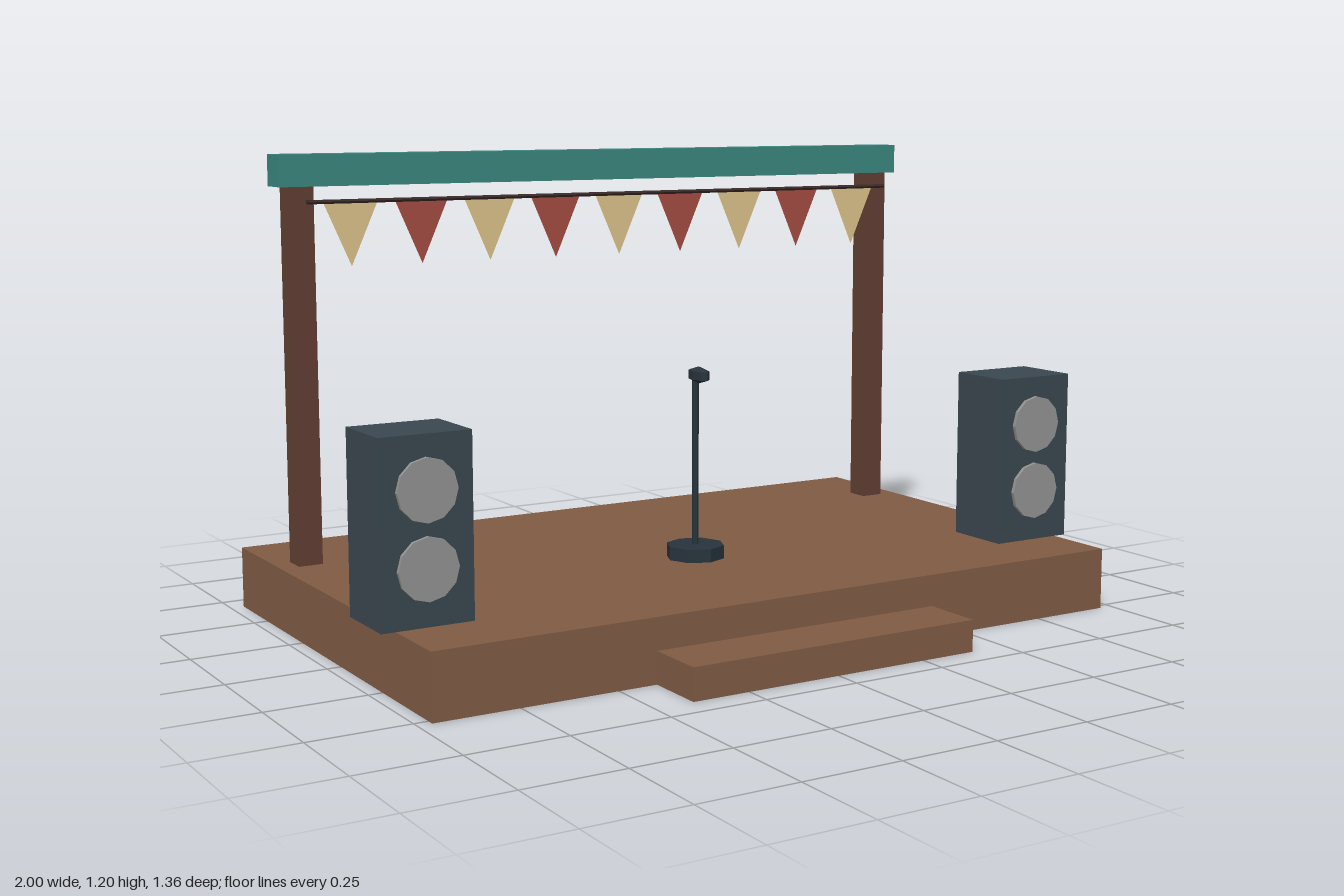
import * as THREE from 'three';

const mat = (color, extra = {}) => new THREE.MeshStandardMaterial({ color, flatShading: true, ...extra });
const wood = mat(0x805b43), postWood = mat(0x623f33), teal = mat(0x3a877f);
const dark = mat(0x3a474f), metal = mat(0x28333c), coneGrey = mat(0x929292), rope = mat(0x3a2a28);
const cream = mat(0xdcc48a, { side: THREE.DoubleSide });
const red = mat(0xa44c42, { side: THREE.DoubleSide });

export function createModel() {
  const stage = new THREE.Group();
  stage.name = 'stage';

  const add = (name, geometry, material, x, y, z, parent = stage) => {
    const mesh = new THREE.Mesh(geometry, material);
    mesh.name = name;
    mesh.position.set(x, y, z);
    parent.add(mesh);
    return mesh;
  };
  const box = (w, h, d) => new THREE.BoxGeometry(w, h, d);

  // Platform and front step
  add('platform', box(1.93, 0.16, 1.2), wood, 0, 0.08, -0.08);
  add('step', box(0.8, 0.08, 0.16), wood, 0, 0.04, 0.6);

  // Posts and speakers, mirrored left and right
  for (const [side, s] of [['left', 1], ['right', -1]]) {
    add(side + 'Post', box(0.064, 0.96, 0.064), postWood, s * 0.885, 0.64, -0.42);

    const speaker = new THREE.Group();
    speaker.name = side + 'Speaker';
    speaker.position.set(s * 0.885, 0.16, 0.242);
    stage.add(speaker);
    add('cabinet', box(0.23, 0.442, 0.18), dark, 0, 0.221, 0, speaker);
    for (const y of [0.135, 0.315]) {
      const cone = add('speakerCone', new THREE.CylinderGeometry(0.075, 0.075, 0.02, 12), coneGrey, 0, y, 0.09, speaker);
      cone.rotation.x = Math.PI / 2;
    }
  }

  // Top beam
  add('beam', box(1.89, 0.08, 0.08), teal, 0, 1.16, -0.42);

  // Bunting: a rope with nine alternating pennants
  const line = add('buntingRope', new THREE.CylinderGeometry(0.006, 0.006, 1.77, 6), rope, 0, 1.083, -0.352);
  line.rotation.z = Math.PI / 2;
  const pennant = new THREE.ShapeGeometry(new THREE.Shape([
    new THREE.Vector2(-0.072, 0), new THREE.Vector2(0, -0.16), new THREE.Vector2(0.072, 0),
  ]));
  for (let i = 0; i < 9; i++) {
    add('pennant', pennant, i % 2 ? red : cream, (i - 4) * 0.1925, 1.08, -0.352);
  }

  // Microphone on its stand
  add('micBase', new THREE.CylinderGeometry(0.076, 0.076, 0.035, 8), metal, 0, 0.177, 0.04);
  add('micPole', new THREE.CylinderGeometry(0.009, 0.009, 0.44, 8), metal, 0, 0.41, 0.04);
  const head = add('micHead', new THREE.SphereGeometry(0.022, 8, 3), metal, 0, 0.638, 0.057);
  head.scale.z = 2.15;

  return stage;
}
